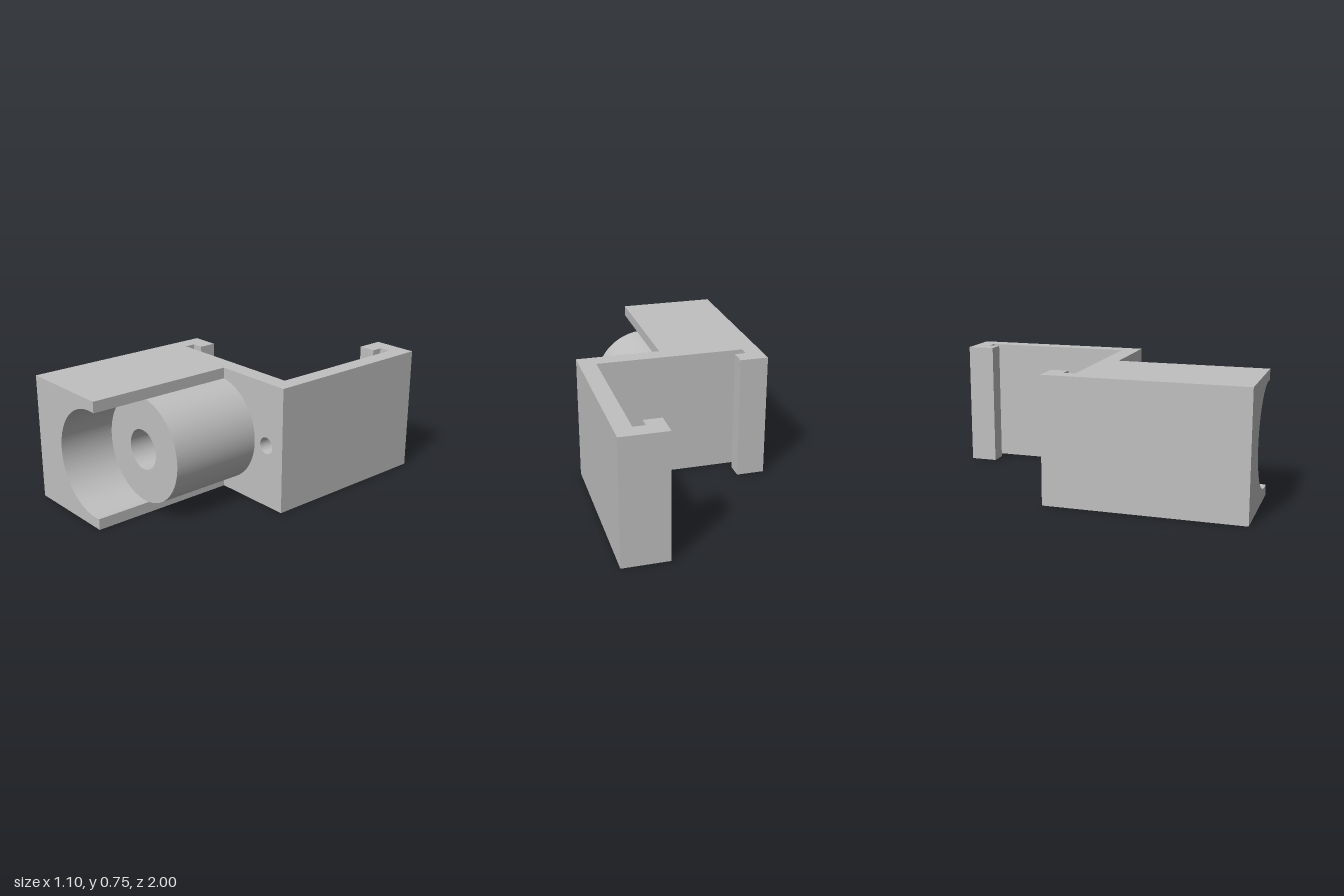
import * as THREE from 'three';
import { toCreasedNormals } from 'three/addons/utils/BufferGeometryUtils.js';

const H = 0.755, MID = H / 2;            // overall height and bore axis
const LEFT = -0.55, RIGHT = 0.545;       // outer sides
const EDGE = 0.04;                       // open side of the holder block
const WALL_BACK = -0.01, WALL_FRONT = 0.095, PLUG_FRONT = 0.66, FRONT = 1;
const BORE = 0.315, PIN = 0.12;

export function createModel() {
  const group = new THREE.Group();
  const grey = new THREE.MeshStandardMaterial({ color: 0xc0c0c0 });

  const add = (name, geometry) => {
    const mesh = new THREE.Mesh(toCreasedNormals(geometry, 0.5), grey);
    mesh.name = name;
    group.add(mesh);
  };
  const extrude = (shape, depth) =>
    new THREE.ExtrudeGeometry(shape, { depth, bevelEnabled: false, curveSegments: 72 });
  // Front-facing outline, extruded from z0 to z1
  const alongZ = (shape, z0, z1) => extrude(shape, z1 - z0).translate(0, 0, z0);
  // Plan outline given as [x, z] points, extruded over the full height
  const alongY = (points) =>
    extrude(new THREE.Shape(points.map(([x, z]) => new THREE.Vector2(x, -z))), H).rotateX(-Math.PI / 2);
  const circle = (x, y, r) => new THREE.Path().absarc(x, y, r, 0, Math.PI * 2, true);

  // Holder block with a bore that breaks through its open side
  const a = Math.acos(EDGE / BORE);
  const block = new THREE.Shape();
  block.moveTo(EDGE, H);
  block.lineTo(LEFT, H);
  block.lineTo(LEFT, 0);
  block.lineTo(EDGE, 0);
  block.lineTo(EDGE, MID - BORE * Math.sin(a));
  block.absarc(0, MID, BORE, -a, a, true);
  block.closePath();
  add('holderBlock', alongZ(block, WALL_FRONT, FRONT));

  // Round plug seated in the bore, with a blind centre hole
  const plug = new THREE.Shape().absarc(0, MID, BORE, 0, Math.PI * 2, false);
  plug.holes.push(circle(0, MID, PIN));
  add('plug', alongZ(plug, WALL_FRONT, PLUG_FRONT));

  // Cross wall with a small screw hole
  const wall = new THREE.Shape();
  wall.moveTo(LEFT, 0);
  wall.lineTo(RIGHT, 0);
  wall.lineTo(RIGHT, H);
  wall.lineTo(LEFT, H);
  wall.closePath();
  wall.holes.push(circle(0.412, MID, 0.05));
  add('crossWall', alongZ(wall, WALL_BACK, WALL_FRONT));

  // Long arm with a hooked end
  add('longClip', alongY([
    [RIGHT, WALL_BACK], [RIGHT, -1], [0.27, -1], [0.27, -0.835],
    [0.375, -0.835], [0.375, -0.9], [0.445, -0.9], [0.445, WALL_BACK],
  ]));

  // Short hook on the opposite side
  add('shortClip', alongY([
    [LEFT, WALL_BACK], [-0.45, WALL_BACK], [-0.45, -0.075],
    [-0.38, -0.075], [-0.38, -0.18], [LEFT, -0.18],
  ]));

  return group;
}
